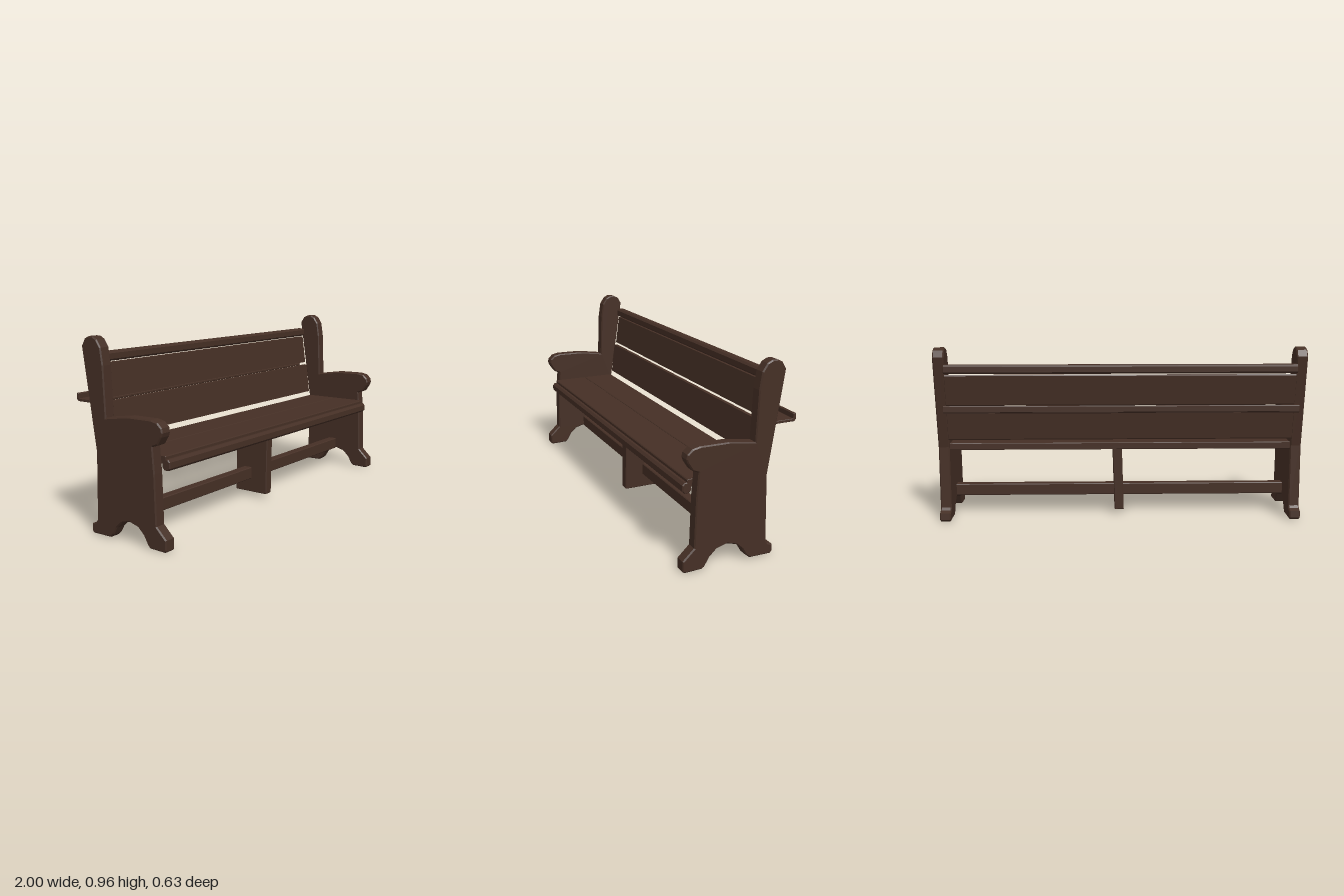
import * as THREE from 'three';

const darkWood = new THREE.MeshStandardMaterial({ color: 0x452f25 });
darkWood.name = 'darkWood';

// Bevelled board: a [z, y] outline swept along x from x0 to x1.
function board(name, outline, x0, x1, bevel = 0.004) {
  const shape = new THREE.Shape(outline.map(([z, y]) => new THREE.Vector2(z, y)));
  const geometry = new THREE.ExtrudeGeometry(shape, {
    depth: x1 - x0 - 2 * bevel,
    bevelEnabled: true, bevelSegments: 1,
    bevelSize: bevel, bevelThickness: bevel, bevelOffset: -bevel,
  });
  geometry.rotateY(-Math.PI / 2);
  geometry.translate(x1 - bevel, 0, 0);
  const mesh = new THREE.Mesh(geometry, darkWood);
  mesh.name = name;
  return mesh;
}

// Rectangle outline with chamfered corners.
function rect(z0, z1, y0, y1, c = 0.004) {
  return [
    [z0 + c, y0], [z1 - c, y0], [z1, y0 + c], [z1, y1 - c],
    [z1 - c, y1], [z0 + c, y1], [z0, y1 - c], [z0, y0 + c],
  ];
}

// Leaning slat outline: the back face runs from (zLow, y0) to (zHigh, y1).
function slat(zLow, zHigh, y0, y1, t = 0.022) {
  return [
    [zLow + 0.004, y0], [zLow + t, y0 + 0.001], [zHigh + t, y1 - 0.001],
    [zHigh + 0.004, y1], [zHigh, y1 - 0.006], [zLow, y0 + 0.006],
  ];
}

const endOutline = [
  // front foot, leg and rounded arm
  [0.305, 0], [0.315, 0.008], [0.315, 0.06], [0.257, 0.115], [0.25, 0.36], [0.24, 0.485],
  [0.27, 0.497], [0.295, 0.535], [0.302, 0.555], [0.297, 0.577], [0.272, 0.6], [0.233, 0.608],
  [0.088, 0.606], [-0.05, 0.585],
  // back post with rounded top
  [-0.06, 0.83], [-0.073, 0.913], [-0.098, 0.95], [-0.124, 0.963], [-0.149, 0.963],
  [-0.177, 0.95], [-0.198, 0.915], [-0.12, 0.415],
  // back foot
  [-0.129, 0.074], [-0.139, 0.061], [-0.165, 0.05], [-0.168, 0.015], [-0.157, 0.003],
  // arch between the feet
  [-0.042, 0.005], [-0.02, 0.023], [0.001, 0.059], [0.034, 0.09], [0.085, 0.105],
  [0.139, 0.09], [0.175, 0.056], [0.203, 0.01], [0.215, 0.002],
];

export function createModel() {
  const bench = new THREE.Group();
  bench.name = 'bench';
  const inner = 0.94;

  // End panels
  bench.add(board('leftEndPanel', endOutline, inner, 1, 0.006));
  bench.add(board('rightEndPanel', endOutline, -1, -inner, 0.006));

  // Seat planks and front moulding
  bench.add(board('rearSeatPlank', rect(-0.117, 0.066, 0.398, 0.436, 0.003), -inner, inner, 0.002));
  bench.add(board('frontSeatPlank', rect(0.067, 0.267, 0.398, 0.436), -inner, inner, 0.002));
  bench.add(board('seatMoulding', rect(0.245, 0.291, 0.367, 0.42, 0.012), -inner, inner));

  // Backrest
  bench.add(board('lowerBackSlat', slat(-0.148, -0.17, 0.46, 0.638), -inner, inner, 0.002));
  bench.add(board('upperBackSlat', slat(-0.181, -0.204, 0.653, 0.822), -inner, inner, 0.002));
  bench.add(board('topRail', rect(-0.222, -0.172, 0.828, 0.876, 0.01), -0.945, 0.942));

  // Rear shelf with an upturned lip
  bench.add(board('rearShelf', rect(-0.308, -0.195, 0.631, 0.645, 0.003), -0.935, 0.93, 0.002));
  bench.add(board('shelfLip', rect(-0.313, -0.298, 0.636, 0.672, 0.004), -0.935, 0.93, 0.002));

  // Centre support, leaning slightly sideways
  const support = board('centreSupport', rect(-0.02, 0.187, 0.025, 0.4), -0.015, 0.037);
  const p = support.geometry.attributes.position;
  for (let i = 0; i < p.count; i++) p.setX(i, p.getX(i) + (p.getY(i) - 0.2) * 0.03);
  support.geometry.computeVertexNormals();
  bench.add(support);

  // Stretchers between the support and the end panels
  const stretcher = rect(0.035, 0.085, 0.1, 0.166);
  bench.add(board('leftStretcher', stretcher, 0.02, inner, 0.002));
  bench.add(board('rightStretcher', stretcher, -inner, 0, 0.002));

  return bench;
}
